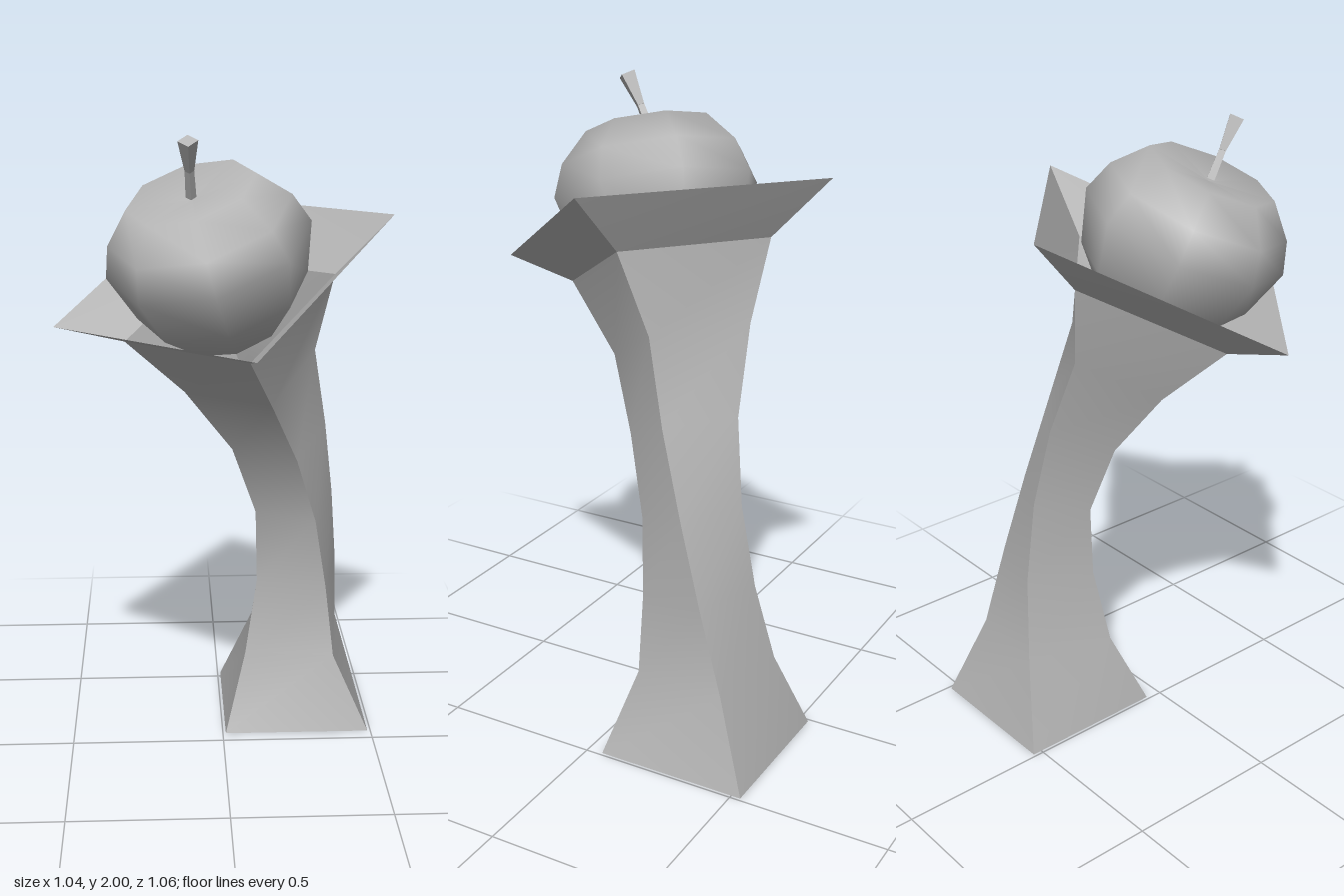
import * as THREE from 'three';
import { toCreasedNormals } from 'three/addons/utils/BufferGeometryUtils.js';

const stone = new THREE.MeshStandardMaterial({ color: 0xb4b4b4, side: THREE.DoubleSide });
stone.name = 'grey stone';

// Three corner edges running up the twisted pedestal; the fourth completes each parallelogram.
const frontEdge = [
  [0.49, 0, -0.05], [0.375, 0.25, -0.115], [0.345, 0.5, -0.115], [0.305, 0.74, -0.09],
  [0.235, 0.97, -0.01], [0.145, 1.18, 0.1], [0.065, 1.365, 0.3], [0.07, 1.42, 0.53]];
const leftEdge = [
  [0.49, 0, -0.53], [0.415, 0.27, -0.42], [0.4, 0.53, -0.34], [0.375, 0.79, -0.26],
  [0.34, 1.05, -0.18], [0.295, 1.31, -0.11], [0.345, 1.565, -0.035], [0.52, 1.75, -0.01]];
const backEdge = [
  [0.01, 0, -0.53], [0.12, 0.27, -0.455], [0.175, 0.53, -0.41], [0.185, 0.79, -0.365],
  [0.14, 1.05, -0.325], [0.03, 1.31, -0.305], [-0.025, 1.565, -0.34], [-0.07, 1.75, -0.51]];
const rings = frontEdge.map((f, i) => {
  const l = leftEdge[i], b = backEdge[i];
  return [f.map((v, k) => v + b[k] - l[k]), f, l, b];
});

// Open four-sided skin through a run of rings
function skin(name, from, to) {
  const pos = [];
  for (let i = from; i < to; i++) {
    for (let j = 0; j < 4; j++) {
      const k = (j + 1) % 4;
      const a = rings[i][j], b = rings[i][k], c = rings[i + 1][k], d = rings[i + 1][j];
      pos.push(...a, ...b, ...c, ...a, ...c, ...d);
    }
  }
  const geo = new THREE.BufferGeometry();
  geo.setAttribute('position', new THREE.Float32BufferAttribute(pos, 3));
  const mesh = new THREE.Mesh(toCreasedNormals(geo, 0.5), stone);
  mesh.name = name;
  return mesh;
}

const UP = new THREE.Vector3(0, 1, 0);

// Tapered rod between two points
function rod(name, a, b, r0, r1) {
  const from = new THREE.Vector3(...a), to = new THREE.Vector3(...b);
  const dir = to.clone().sub(from);
  const geo = toCreasedNormals(new THREE.CylinderGeometry(r1, r0, dir.length(), 4), 0.5);
  const mesh = new THREE.Mesh(geo, stone);
  mesh.name = name;
  mesh.position.copy(from).add(to).multiplyScalar(0.5);
  mesh.quaternion.setFromUnitVectors(UP, dir.normalize());
  return mesh;
}

export function createModel() {
  const model = new THREE.Group();
  model.name = 'fruitPedestal';

  // Leaning column and the flared dish on it
  model.add(skin('pedestalColumn', 0, 6), skin('dish', 6, 7));

  // Eight-sided fruit, tipped square to the dish
  const profile = [[0, -0.25], [0.16, -0.25], [0.27, -0.13], [0.32, 0.03], [0.285, 0.13], [0.2, 0.225], [0, 0.2]];
  const fruit = new THREE.Mesh(
    new THREE.LatheGeometry(profile.map(([r, h]) => new THREE.Vector2(r, h)), 8), stone);
  fruit.name = 'fruit';
  fruit.position.set(-0.04, 1.63, 0.05);
  fruit.quaternion.setFromUnitVectors(UP, new THREE.Vector3(-0.27, 0.91, 0.29).normalize());
  model.add(fruit);

  // Bent stem, wider at the tip
  const bend = [-0.105, 1.9, 0.15];
  model.add(
    rod('stemBase', [-0.1, 1.82, 0.11], bend, 0.016, 0.014),
    rod('stemTip', bend, [-0.11, 1.99, 0.2], 0.014, 0.03));

  return model;
}
